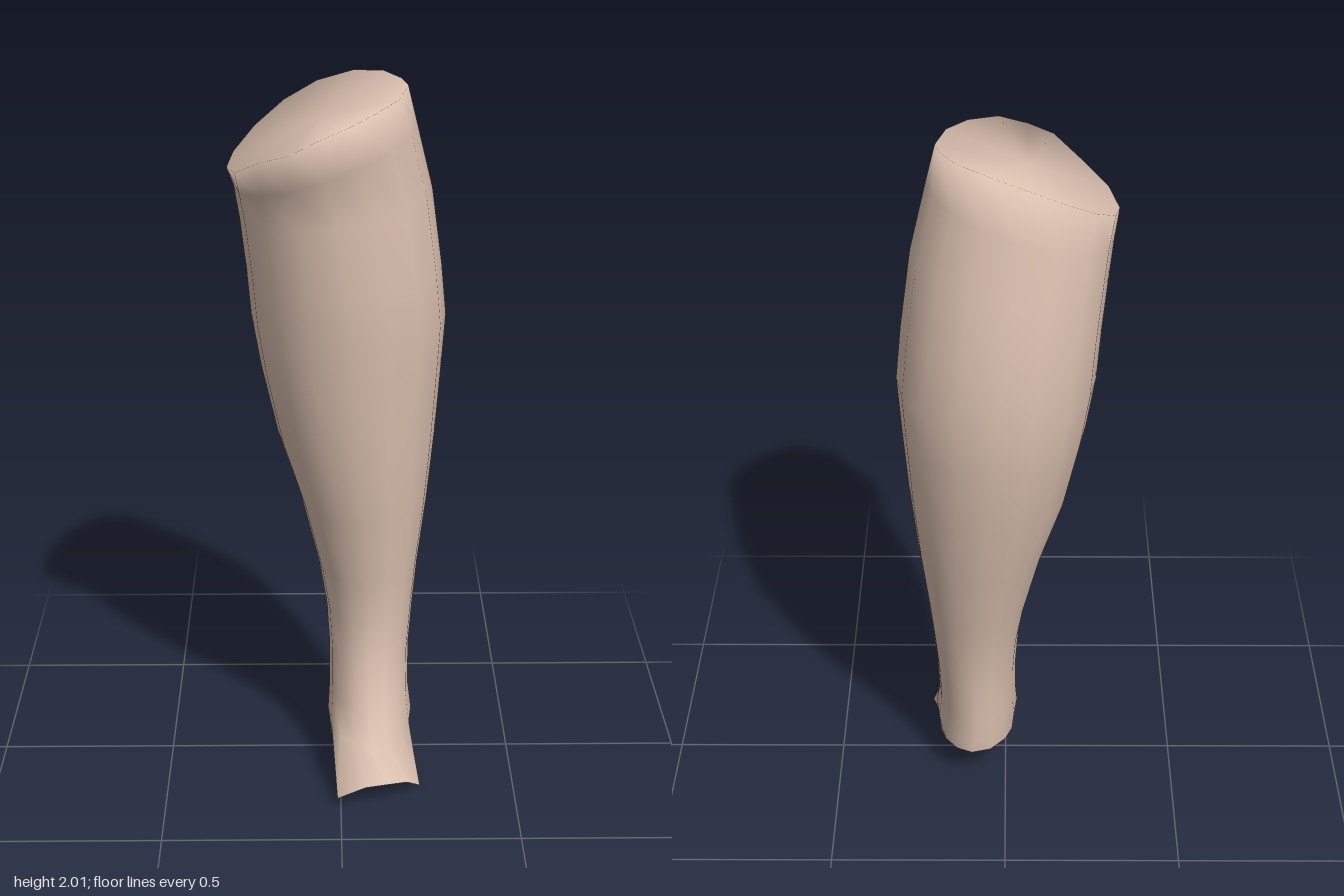
import * as THREE from 'three';

const N = 16;

// Builds a smooth surface through rings of N points, listed from top to bottom
function loft(rings, capTop, capBottom) {
  const pos = rings.flat(2);
  const idx = [];
  for (let i = 0; i < rings.length - 1; i++) {
    for (let j = 0; j < N; j++) {
      const k = (j + 1) % N;
      const a = i * N + j, b = i * N + k, c = a + N, d = b + N;
      idx.push(a, b, c, b, d, c);
    }
  }
  const addCap = (centre, start, up) => {
    const m = pos.length / 3;
    pos.push(...centre);
    for (let j = 0; j < N; j++) {
      const a = start + j, b = start + (j + 1) % N;
      if (up) idx.push(m, b, a); else idx.push(m, a, b);
    }
  };
  if (capTop) addCap(capTop, 0, true);
  if (capBottom) addCap(capBottom, (rings.length - 1) * N, false);
  const g = new THREE.BufferGeometry();
  g.setAttribute('position', new THREE.Float32BufferAttribute(pos, 3));
  g.setIndex(idx);
  g.computeVertexNormals();
  return g;
}

// Elliptical section from its extents, sloping sideways and front to back
function section([y, xl, xr, zb, zf, slopeX = 0, slopeZ = 0]) {
  const cx = (xl + xr) / 2, cz = (zb + zf) / 2;
  return Array.from({ length: N }, (_, j) => {
    const t = (j / N) * Math.PI * 2;
    const dx = Math.cos(t) * (xr - xl) / 2, dz = Math.sin(t) * (zf - zb) / 2;
    return [cx + dx, y + slopeX * dx + slopeZ * dz, cz + dz];
  });
}

export function createModel() {
  const group = new THREE.Group();
  group.name = 'lowerLeg';
  const skin = new THREE.MeshStandardMaterial({ color: 0xd9bfae, side: THREE.DoubleSide });

  // Slanted, slightly arched rim below the knee
  const kneeRim = [
    [0.18, 0], [0.155, 0.12], [0.1, 0.21], [0.02, 0.29],
    [-0.06, 0.31], [-0.13, 0.32], [-0.21, 0.23], [-0.275, 0.165],
    [-0.3, 0.06], [-0.285, -0.03], [-0.23, -0.12], [-0.15, -0.185],
    [-0.06, -0.21], [0.04, -0.195], [0.12, -0.14], [0.165, -0.06],
  ].map(([x, z]) => {
    const u = (x + 0.06) / 0.24;
    return [x, 1.9 + 0.1 * u - 0.08 * (z - 0.05) + 0.05 * (1 - u * u), z];
  });

  // Lower rim: heel, arch and two points at the front
  const footRim = [
    [0.2, 0.09, 0.03], [0.215, 0.06, 0.12], [0.23, 0, 0.225], [0.19, 0.045, 0.28],
    [0.13, 0.065, 0.325], [0.07, 0.065, 0.34], [-0.01, 0.03, 0.34], [-0.015, 0.075, 0.2],
    [-0.02, 0.1, 0.05], [-0.02, 0.105, -0.04], [0, 0.115, -0.1], [0.045, 0.12, -0.155],
    [0.1, 0.12, -0.17], [0.145, 0.12, -0.15], [0.18, 0.115, -0.1], [0.195, 0.1, -0.04],
  ];

  // Calf, shin and ankle: height, x extents, z extents, slopes
  const sections = [
    [1.82, -0.285, 0.205, -0.24, 0.245, 0.34, -0.06],
    [1.68, -0.272, 0.25, -0.288, 0.235, 0.15],
    [1.5, -0.257, 0.28, -0.32, 0.235],
    [1.35, -0.245, 0.295, -0.335, 0.225],
    [1.2, -0.22, 0.285, -0.325, 0.21],
    [1.0, -0.175, 0.27, -0.3, 0.19],
    [0.8, -0.11, 0.25, -0.255, 0.16],
    [0.6, -0.06, 0.225, -0.21, 0.13],
    [0.47, -0.038, 0.212, -0.185, 0.125],
    [0.35, -0.03, 0.202, -0.172, 0.14],
    [0.23, -0.03, 0.2, -0.17, 0.19],
    [0.155, -0.035, 0.21, -0.172, 0.25, 0, -0.06],
  ].map(section);

  const leg = new THREE.Mesh(loft([kneeRim, ...sections, footRim], [-0.06, 1.925, 0.05]), skin);
  leg.name = 'calfAndAnkle';
  group.add(leg);

  // Hollowed underside of the foot, with a crisp edge
  const inner = footRim.map(([x, y, z]) => [0.1 + (x - 0.1) * 0.7, y * 0.7 + 0.05, 0.07 + (z - 0.07) * 0.7]);
  const sole = new THREE.Mesh(loft([footRim, inner], null, [0.1, 0.13, 0.07]), skin);
  sole.name = 'sole';
  group.add(sole);

  return group;
}
